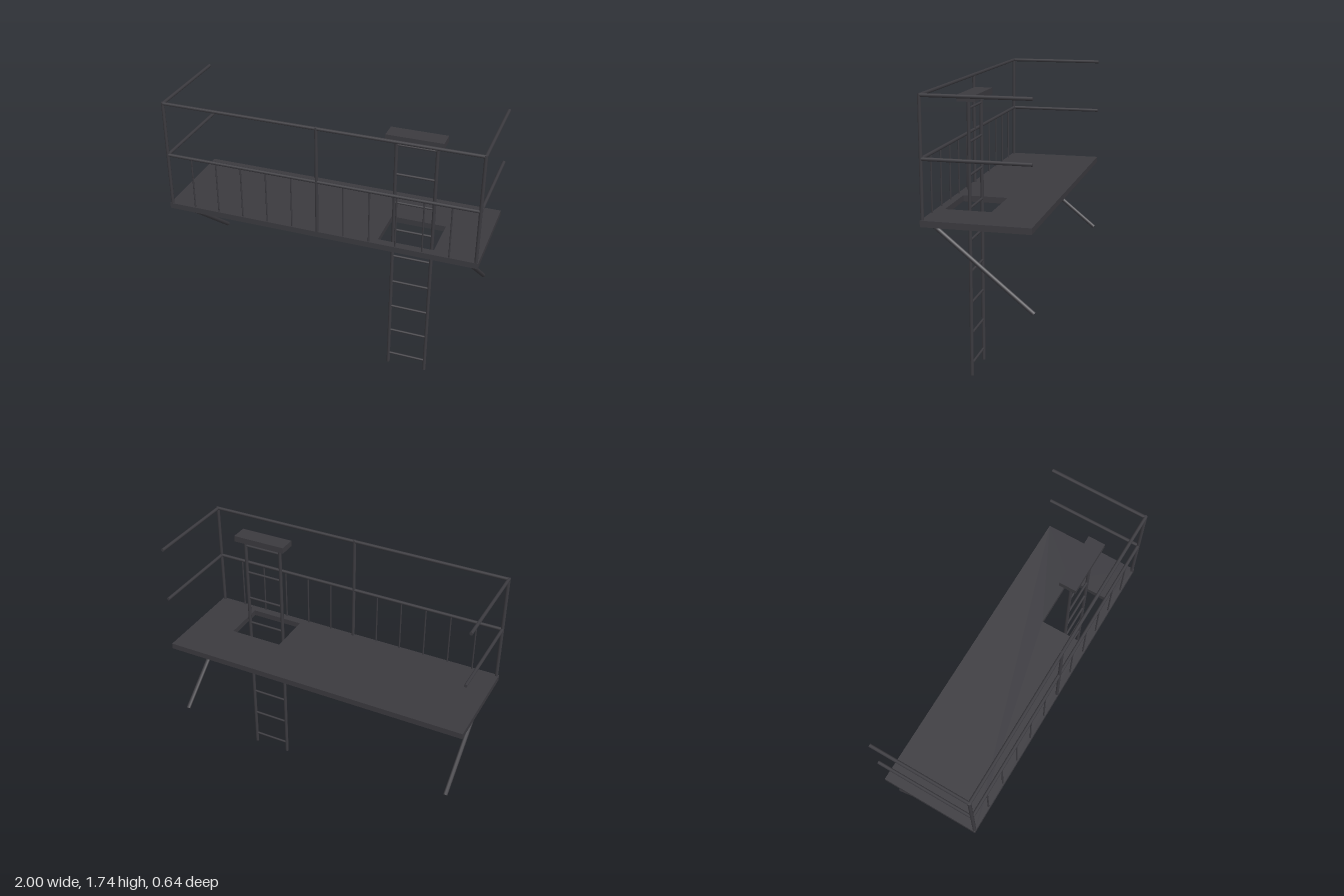
import * as THREE from 'three';

export function createModel() {
  const model = new THREE.Group();
  const steel = new THREE.MeshStandardMaterial({ color: 0x3b3a3f });
  steel.name = 'charcoal steel';

  // Round bar between two points
  const bar = (name, a, b, radius, parent, sides = 8) => {
    const start = new THREE.Vector3(...a), end = new THREE.Vector3(...b);
    const dir = end.clone().sub(start);
    const mesh = new THREE.Mesh(new THREE.CylinderGeometry(radius, radius, dir.length(), sides), steel);
    mesh.position.copy(start).add(end).multiplyScalar(0.5);
    mesh.quaternion.setFromUnitVectors(new THREE.Vector3(0, 1, 0), dir.normalize());
    mesh.name = name;
    parent.add(mesh);
  };
  const group = (name) => {
    const g = new THREE.Group();
    g.name = name;
    model.add(g);
    return g;
  };
  const rect = (shape, x0, y0, x1, y1) =>
    shape.moveTo(x0, y0).lineTo(x1, y0).lineTo(x1, y1).lineTo(x0, y1).closePath();

  // Deck with the ladder hatch cut through it (shape y becomes -z)
  const deckShape = new THREE.Shape();
  rect(deckShape, -1, -0.318, 1, 0.316);
  const hatch = new THREE.Path();
  rect(hatch, 0.376, -0.267, 0.723, 0.012);
  deckShape.holes.push(hatch);
  const deckGeometry = new THREE.ExtrudeGeometry(deckShape, { depth: 0.037, bevelEnabled: false });
  deckGeometry.rotateX(-Math.PI / 2);
  const deck = new THREE.Mesh(deckGeometry, steel);
  deck.position.y = 1;
  deck.name = 'deck';
  model.add(deck);

  // Railing: posts, front and side rails, balusters
  const railing = group('railing');
  const railX = 0.986, railZ = 0.308, deckTop = 1.03, topY = 1.727, midY = 1.38, r = 0.0105;
  for (const x of [-railX, 0, railX]) bar('railPost', [x, deckTop, railZ], [x, topY + 0.008, railZ], r, railing);
  for (const y of [midY, topY]) {
    bar('frontRail', [-railX, y, railZ], [railX, y, railZ], r, railing);
    for (const x of [-railX, railX]) bar('sideRail', [x, y, railZ], [x, y, -0.316], r, railing);
  }
  for (let i = -5; i <= 5; i++) {
    if (i !== 0) bar('baluster', [i * 0.165, deckTop, railZ], [i * 0.165, midY, railZ], 0.005, railing);
  }

  // Ladder through the hatch, with a cap on top
  const ladder = group('ladder');
  const ladderZ = 0.131, leftX = 0.677, rightX = 0.43;
  for (const x of [rightX, leftX]) bar('ladderRail', [x, 0, ladderZ], [x, 1.67, ladderZ], 0.011, ladder);
  for (let i = 0; i < 9; i++) {
    const y = 0.075 + i * 0.1928;
    bar('rung', [rightX, y, ladderZ], [leftX, y, ladderZ], 0.0075, ladder);
  }
  const cap = new THREE.Mesh(new THREE.BoxGeometry(0.347, 0.038, 0.108), steel);
  cap.position.set(0.55, 1.68, ladderZ);
  cap.name = 'ladderCap';
  ladder.add(cap);

  // Diagonal braces back to the wall
  const braces = group('braces');
  for (const x of [-0.931, 0.931]) bar('brace', [x, 1.005, 0.275], [x, 0.526, -0.313], 0.0138, braces);

  return model;
}
